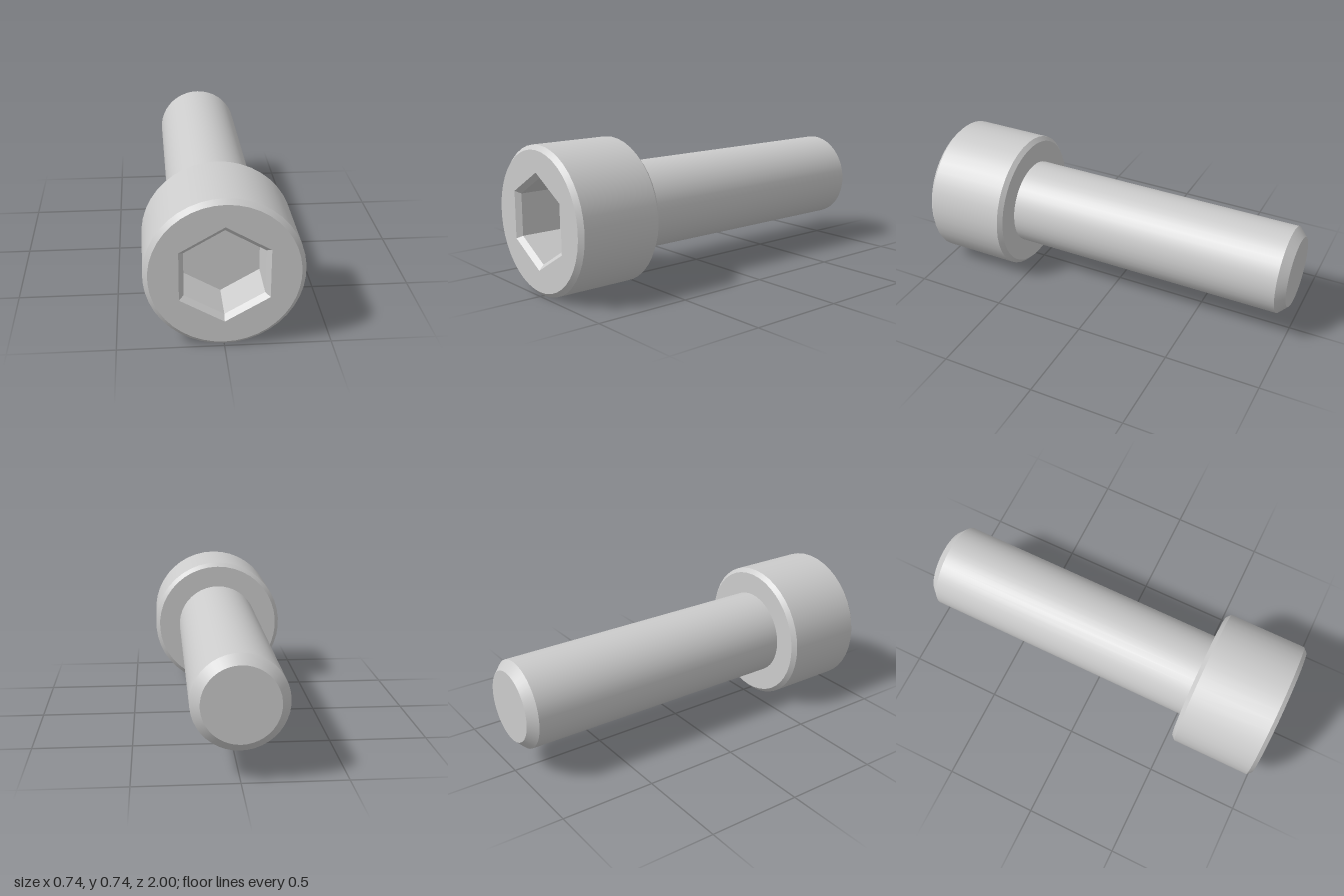
import * as THREE from 'three';
import { mergeGeometries } from 'three/addons/utils/BufferGeometryUtils.js';

const SIDES = 42;
const AXIS_Y = 0.373;
const HEAD_R = 0.371, FACE_R = 0.349, HEAD_BACK = 0.538;
const SHAFT_R = 0.23;
const HEX_R = 0.241;

// Turns a [radius, z] profile about the z axis; each band is its own lathe so edges stay sharp.
function turned(profile, sides, flat = false) {
  const bands = [];
  for (let i = 0; i + 1 < profile.length; i++) {
    const points = [profile[i], profile[i + 1]].map(([r, z]) => new THREE.Vector2(r, z));
    let band = new THREE.LatheGeometry(points, sides);
    if (flat) {
      band = band.toNonIndexed();
      band.computeVertexNormals();
    }
    bands.push(band);
  }
  return mergeGeometries(bands).rotateX(Math.PI / 2);
}

// Regular polygon with a corner at the bottom.
function polygon(radius, sides) {
  return Array.from({ length: sides }, (_, i) => {
    const a = -Math.PI / 2 + (i / sides) * Math.PI * 2;
    return new THREE.Vector2(radius * Math.cos(a), radius * Math.sin(a));
  });
}

export function createModel() {
  const model = new THREE.Group();
  model.name = 'socketHeadBolt';
  const material = new THREE.MeshStandardMaterial({ color: 0xcccccc });
  const add = (name, geometry) => {
    const mesh = new THREE.Mesh(geometry, material);
    mesh.name = name;
    mesh.position.y = AXIS_Y;
    model.add(mesh);
  };

  // Chamfered shaft with a closed tip
  add('shaft', turned([[0, -1], [0.185, -1], [SHAFT_R, -0.955], [SHAFT_R, HEAD_BACK]], SIDES));

  // Head underside, chamfers and wall
  add('head', turned([
    [SHAFT_R, HEAD_BACK], [FACE_R, HEAD_BACK], [HEAD_R, HEAD_BACK + 0.022],
    [HEAD_R, 0.978], [FACE_R, 1],
  ], SIDES));

  // Flat head face with the hexagonal opening
  const face = new THREE.Shape(polygon(FACE_R, SIDES));
  face.holes.push(new THREE.Path(polygon(HEX_R, 6)));
  add('headFace', new THREE.ShapeGeometry(face).translate(0, 0, 1));

  // Hexagonal socket: bevelled rim, walls and floor, facing inward
  add('hexSocket', turned([[HEX_R, 1], [0.215, 0.975], [0.215, 0.76], [0, 0.76]], 6, true));

  return model;
}
